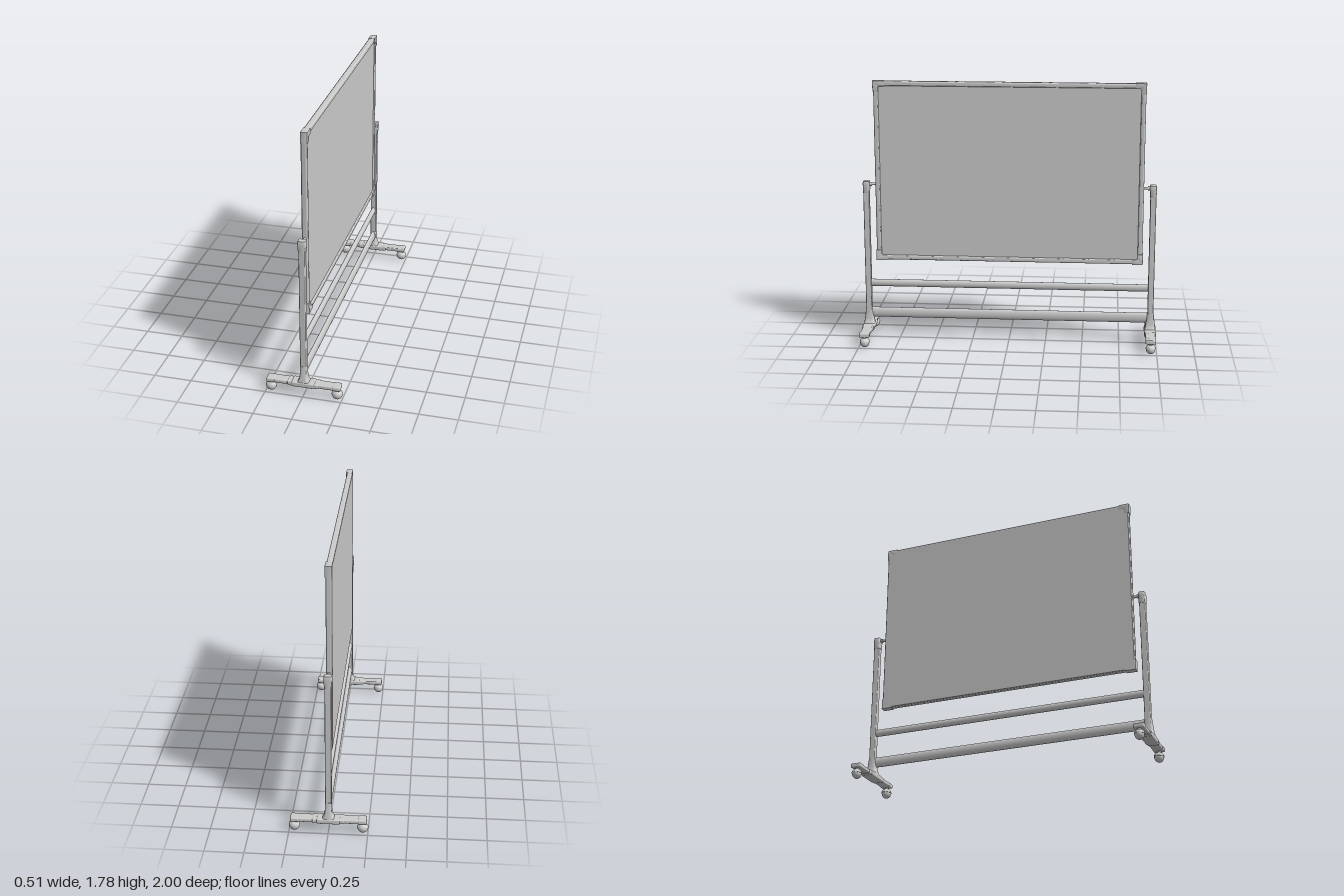
import * as THREE from 'three';
import { RoundedBoxGeometry } from 'three/addons/geometries/RoundedBoxGeometry.js';
import { toCreasedNormals } from 'three/addons/utils/BufferGeometryUtils.js';

const material = new THREE.MeshStandardMaterial({ color: 0xcccccc });

function add(parent, name, geometry, x = 0, y = 0, z = 0) {
  const mesh = new THREE.Mesh(geometry, material);
  mesh.name = name;
  mesh.position.set(x, y, z);
  parent.add(mesh);
  return mesh;
}

const rounded = (w, h, d, r) => new RoundedBoxGeometry(w, h, d, 3, r);

// Upright solid through rounded-rectangle sections [y, halfX, halfZ], closed at both ends
function loft(sections) {
  const n = 24, pos = [], idx = [];
  for (const [y, hx, hz] of sections) {
    for (let i = 0; i < n; i++) {
      const a = (i / n) * Math.PI * 2, c = Math.cos(a), s = Math.sin(a);
      pos.push(hx * Math.sign(c) * Math.abs(c) ** 0.4, y, hz * Math.sign(s) * Math.abs(s) ** 0.4);
    }
  }
  for (let k = 0; k < sections.length - 1; k++) {
    for (let i = 0; i < n; i++) {
      const a = k * n + i, b = k * n + (i + 1) % n;
      idx.push(a, a + n, b, b, a + n, b + n);
    }
  }
  const top = (sections.length - 1) * n;
  for (let i = 1; i < n - 1; i++) {
    idx.push(0, i, i + 1, top, top + i + 1, top + i);
  }
  const g = new THREE.BufferGeometry();
  g.setAttribute('position', new THREE.Float32BufferAttribute(pos, 3));
  g.setIndex(idx);
  return toCreasedNormals(g, 0.6);
}

function rect(ShapeType, hw, hh) {
  const s = new ShapeType();
  s.moveTo(-hw, -hh).lineTo(hw, -hh).lineTo(hw, hh).lineTo(-hw, hh).closePath();
  return s;
}

// Twin-wheel caster with a hood and a stem
function makeCaster() {
  const caster = new THREE.Group();
  caster.name = 'caster';
  const wheel = new THREE.SphereGeometry(0.034, 24, 16);
  add(caster, 'casterWheel', wheel, 0, 0.033, 0).scale.set(1, 0.97, 0.9);
  const hood = new THREE.SphereGeometry(0.036, 24, 8, 0, Math.PI * 2, 0, Math.PI / 2);
  add(caster, 'casterHood', hood, 0, 0.036, 0).scale.set(1, 0.86, 0.93);
  const rim = new THREE.CircleGeometry(0.036, 24).rotateX(Math.PI / 2);
  add(caster, 'casterHoodUnderside', rim, 0, 0.036, 0).scale.z = 0.93;
  add(caster, 'casterStem', new THREE.CylinderGeometry(0.014, 0.014, 0.02, 16), 0, 0.07, 0);
  return caster;
}

// One end of the stand: foot, post, cap and pivot; inner side faces -z
function makeSide() {
  const side = new THREE.Group();
  side.name = 'standEnd';
  add(side, 'footBar', rounded(0.46, 0.026, 0.066, 0.007), 0, 0.087, 0);
  add(side, 'footSleeve', rounded(0.15, 0.036, 0.08, 0.01), 0, 0.086, 0);
  for (const s of [-1, 1]) {
    add(side, 'sleeveCollar', rounded(0.05, 0.031, 0.074, 0.008), s * 0.078, 0.086, 0);
    add(side, 'footEndCap', rounded(0.054, 0.029, 0.07, 0.008), s * 0.215, 0.087, 0);
    const caster = makeCaster();
    caster.position.x = s * 0.217;
    side.add(caster);
  }
  add(side, 'postSocket', loft([
    [0.09, 0.045, 0.037], [0.105, 0.036, 0.036], [0.12, 0.027, 0.034],
    [0.14, 0.023, 0.031], [0.18, 0.022, 0.026], [0.215, 0.021, 0.022],
  ]));
  add(side, 'post', rounded(0.04, 0.92, 0.04, 0.006), 0, 0.61, 0);
  add(side, 'postCap', loft([
    [1.02, 0.022, 0.022], [1.03, 0.024, 0.022], [1.07, 0.027, 0.023],
    [1.09, 0.027, 0.023], [1.1, 0.024, 0.02],
  ]), 0, 0, -0.001);
  // Pivot that carries the board
  add(side, 'pivotPin', new THREE.CylinderGeometry(0.009, 0.009, 0.07, 16).rotateX(Math.PI / 2), 0, 1.08, -0.045);
  add(side, 'pivotCollar', new THREE.CylinderGeometry(0.014, 0.014, 0.014, 16).rotateX(Math.PI / 2), 0, 1.08, -0.03);
  return side;
}

// Board with its frame and corner pieces on the +x face
function makeBoard() {
  const board = new THREE.Group();
  board.name = 'board';
  board.position.y = 1.168;
  const hw = 0.897, hh = 0.61, rail = 0.033, bevel = 0.01;

  const shape = rect(THREE.Shape, hw - bevel, hh - bevel);
  shape.holes.push(rect(THREE.Path, hw - rail + bevel, hh - rail + bevel));
  const frame = new THREE.ExtrudeGeometry(shape, {
    depth: 0.018, bevelEnabled: true, bevelSize: bevel, bevelThickness: bevel, bevelSegments: 4,
  }).translate(0, 0, -0.02 + bevel).rotateY(Math.PI / 2);
  add(board, 'boardFrame', toCreasedNormals(frame, 0.5));
  add(board, 'writingPanel', new THREE.BoxGeometry(0.03, 2 * hh - 0.012, 2 * hw - 0.012), -0.006, 0, 0);

  // L-shaped corner with a rounded inner bend
  const L = 0.072, w = 0.036;
  const corner = new THREE.Shape();
  corner.moveTo(0, 0).lineTo(L, 0).lineTo(L, w).lineTo(w + 0.014, w)
    .quadraticCurveTo(w, w, w, w + 0.014).lineTo(w, L).lineTo(0, L).closePath();
  for (const sy of [-1, 1]) {
    for (const sz of [-1, 1]) {
      const g = new THREE.ExtrudeGeometry(corner, {
        depth: 0.04, bevelEnabled: true, bevelSize: 0.002, bevelThickness: 0.002, bevelSegments: 2, bevelOffset: -0.002,
      }).translate(0, 0, -0.019);
      // The L spans the first quadrant; quarter turns aim it at each corner
      const turn = sy < 0 ? (sz > 0 ? 0 : 1) : (sz > 0 ? 3 : 2);
      g.rotateZ(turn * Math.PI / 2).rotateY(Math.PI / 2);
      add(board, 'frameCorner', toCreasedNormals(g, 0.5), 0, sy * (hh + 0.002), sz * (hw + 0.003));
    }
  }
  return board;
}

export function createModel() {
  const model = new THREE.Group();
  model.name = 'mobileBoard';
  for (const s of [-1, 1]) {
    const side = makeSide();
    side.position.z = s * 0.96;
    if (s < 0) side.rotation.y = Math.PI;
    model.add(side);
  }
  // Oval rails joining the two ends
  for (const [name, y, h] of [['upperRail', 0.39, 0.05], ['lowerRail', 0.18, 0.07]]) {
    const g = new THREE.CylinderGeometry(0.5, 0.5, 1.9, 28).rotateX(Math.PI / 2).scale(0.032, h, 1);
    add(model, name, g, 0, y, 0);
  }
  model.add(makeBoard());
  return model;
}
